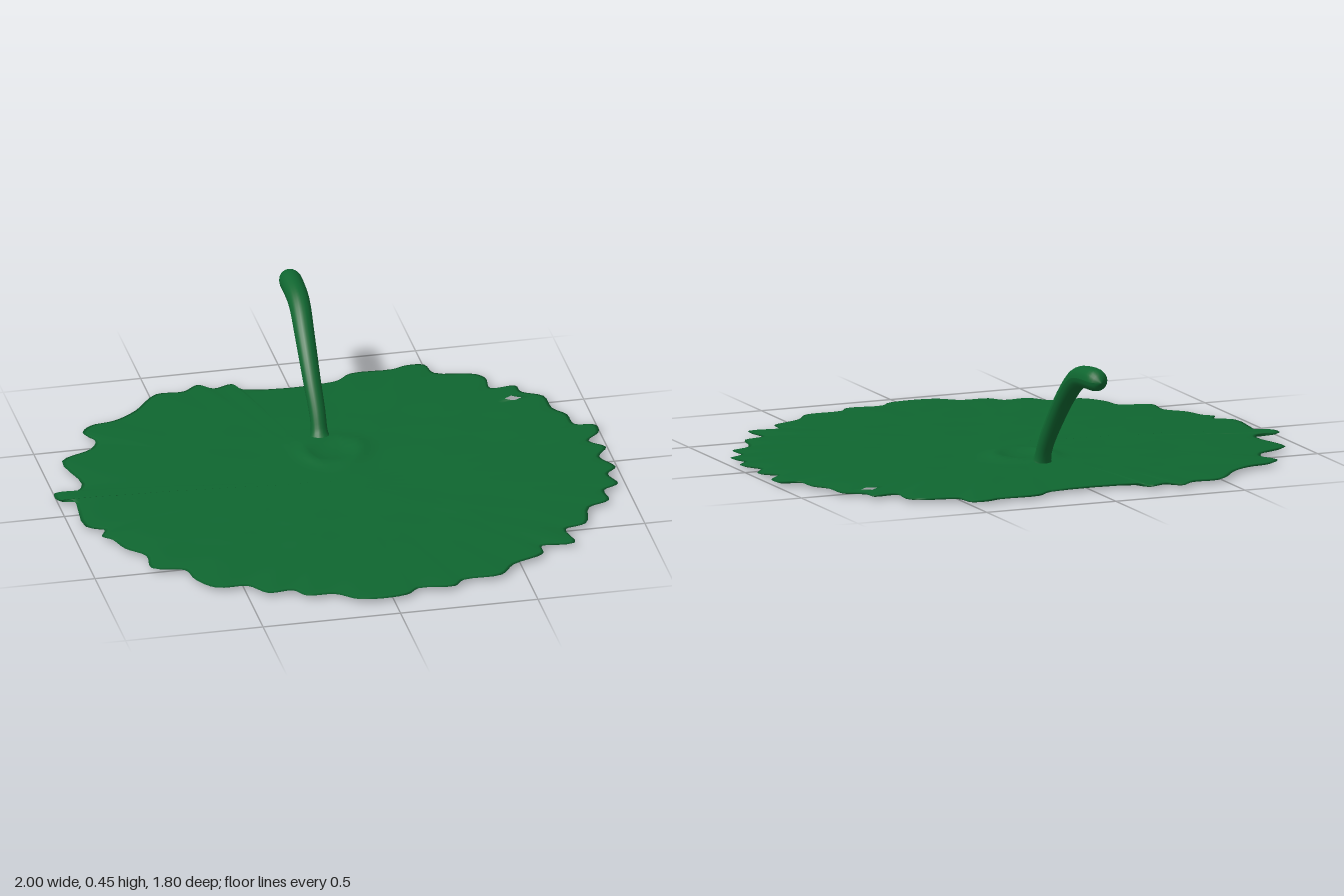
import * as THREE from 'three';

const green = new THREE.MeshStandardMaterial({ color: 0x0f6630 });

// Ragged rim of the leaf as [x, z], starting at the notch behind
const rim = [
  [-.17, -.81], [.16, -.80], [.23, -.85], [.38, -.85], [.44, -.87], [.5, -.86], [.52, -.79],
  [.66, -.75], [.69, -.71], [.69, -.63], [.78, -.63], [.79, -.58], [.86, -.53], [.87, -.43],
  [.91, -.37], [.92, -.29], [.99, -.27], [.99, -.21], [.94, -.15], [.99, -.09], [.95, -.02],
  [.99, .07], [.95, .12], [.97, .2], [.91, .24], [.91, .32], [.83, .36], [.79, .48],
  [.71, .51], [.72, .62], [.60, .62], [.59, .68], [.47, .74], [.41, .81], [.27, .82],
  [.23, .86], [.1, .85], [.05, .89], [-.12, .89], [-.2, .83], [-.3, .82], [-.34, .77],
  [-.43, .77], [-.49, .70], [-.6, .69], [-.66, .61], [-.68, .53], [-.79, .49], [-.79, .39],
  [-.85, .32], [-.88, .24], [-.91, .21], [-.89, .16], [-.95, .12], [-.95, -.1], [-1, -.1],
  [-1, -.16], [-.92, -.16], [-.89, -.21], [-.92, -.4], [-.8, -.47], [-.77, -.53], [-.8, -.6],
  [-.76, -.65], [-.67, -.67], [-.58, -.73], [-.48, -.84], [-.38, -.84], [-.32, -.88],
  [-.27, -.84], [-.2, -.86],
];

function topHeight(x, z, t) {
  const ring = Math.hypot(x - .03, z + .24) - .1; // low swelling around the stem
  const ripple = .0015 * Math.sin(x * 17 + 2 * Math.sin(z * 9)) * Math.sin(z * 21 + x * 5);
  return .016 + .006 * Math.sqrt(1 - t ** 8) + .01 * (1 - t * t)
    + (1 - t ** 4) * ripple + .011 * Math.exp(-((ring / .035) ** 2));
}

function leafGeometry() {
  const curve = new THREE.CatmullRomCurve3(rim.map(([x, z]) => new THREE.Vector3(x, 0, z)), true);
  const n = rim.length * 4;
  const edge = Array.from({ length: n }, (_, i) => curve.getPoint(i / n));

  // Rim segment and radial position of the small hole
  const hole = new THREE.Vector3(.75, 0, -.52);
  const angle = (p) => Math.atan2(p.z, p.x);
  let seg = 0;
  edge.forEach((p, i) => {
    if (Math.abs(angle(p) - angle(hole)) < Math.abs(angle(edge[seg]) - angle(hole))) seg = i;
  });
  const s = hole.length() / edge[seg].length();
  const rings = [];
  for (let i = 0; i < 24; i++) rings.push(.004 + i / 24 * (s - .024));
  const holeRing = rings.length;
  rings.push(s - .018, s + .018, (s + 1.018) / 2, .985, 1);

  // Upper skin from the centre out, then lower skin from the rim back in
  const layers = [
    ...rings.map((t) => ({ t, top: true })),
    ...rings.slice(0, -1).reverse().map((t) => ({ t, top: false })),
  ];
  const pos = [];
  for (const { t, top } of layers) {
    for (const p of edge) {
      const x = p.x * t, z = p.z * t;
      pos.push(x, top ? topHeight(x, z, t) : .014 - .012 * Math.sqrt(1 - t ** 8), z);
    }
  }
  const id = (layer, i) => layer * n + (i + n) % n;
  const index = [];
  const quad = (a, b, c, d) => index.push(a, b, c, a, c, d);
  const last = layers.length - 1;
  const lowRing = last - holeRing; // lower layer matching holeRing
  const inHole = (i) => i === (seg - 1 + n) % n || i === seg;
  for (let l = 0; l < last; l++) {
    for (let i = 0; i < n; i++) {
      if (inHole(i) && (l === holeRing || l === lowRing - 1)) continue;
      quad(id(l, i), id(l, i + 1), id(l + 1, i + 1), id(l + 1, i));
    }
  }
  // Walls of the hole
  const loop = [[0, -1], [0, 0], [0, 1], [1, 1], [1, 0], [1, -1]];
  loop.forEach(([r, i], k) => {
    const [r2, i2] = loop[(k + 1) % loop.length];
    quad(id(holeRing + r, seg + i), id(lowRing - r, seg + i),
      id(lowRing - r2, seg + i2), id(holeRing + r2, seg + i2));
  });
  // Close the tiny centre openings
  for (let i = 1; i < n - 1; i++) {
    index.push(id(0, 0), id(0, i + 1), id(0, i), id(last, 0), id(last, i), id(last, i + 1));
  }
  const geo = new THREE.BufferGeometry();
  geo.setAttribute('position', new THREE.Float32BufferAttribute(pos, 3));
  geo.setIndex(index);
  geo.computeVertexNormals();
  return geo;
}

function stemGeometry() {
  const path = new THREE.CatmullRomCurve3([
    [.01, .015, -.36], [.01, .10, -.40], [.005, .20, -.47], [.005, .315, -.58],
    [.01, .395, -.70], [.01, .413, -.82], [.01, .41, -.895],
  ].map((p) => new THREE.Vector3(...p)));
  const rows = 48, sides = 20;
  const geo = new THREE.TubeGeometry(path, rows, 1, sides);
  const pos = geo.attributes.position, v = new THREE.Vector3();
  for (let i = 0; i < pos.count; i++) {
    // Flared foot, slow swelling upward, blunt rounded tip
    const u = Math.floor(i / (sides + 1)) / rows;
    const tip = Math.max(0, (u - .88) / .12);
    const r = (.027 + .016 * u + .02 * Math.exp(-u * 40)) * Math.sqrt(Math.max(0, 1 - tip ** 3));
    const c = path.getPointAt(u);
    v.fromBufferAttribute(pos, i).sub(c).multiplyScalar(r).add(c);
    pos.setXYZ(i, v.x, Math.max(v.y, .006), v.z);
  }
  geo.computeVertexNormals();
  return geo;
}

export function createModel() {
  const group = new THREE.Group();
  group.name = 'lilyPad';
  const add = (name, geo) => {
    const mesh = new THREE.Mesh(geo, green);
    mesh.name = name;
    group.add(mesh);
  };
  add('leaf', leafGeometry());
  add('stem', stemGeometry());
  return group;
}
